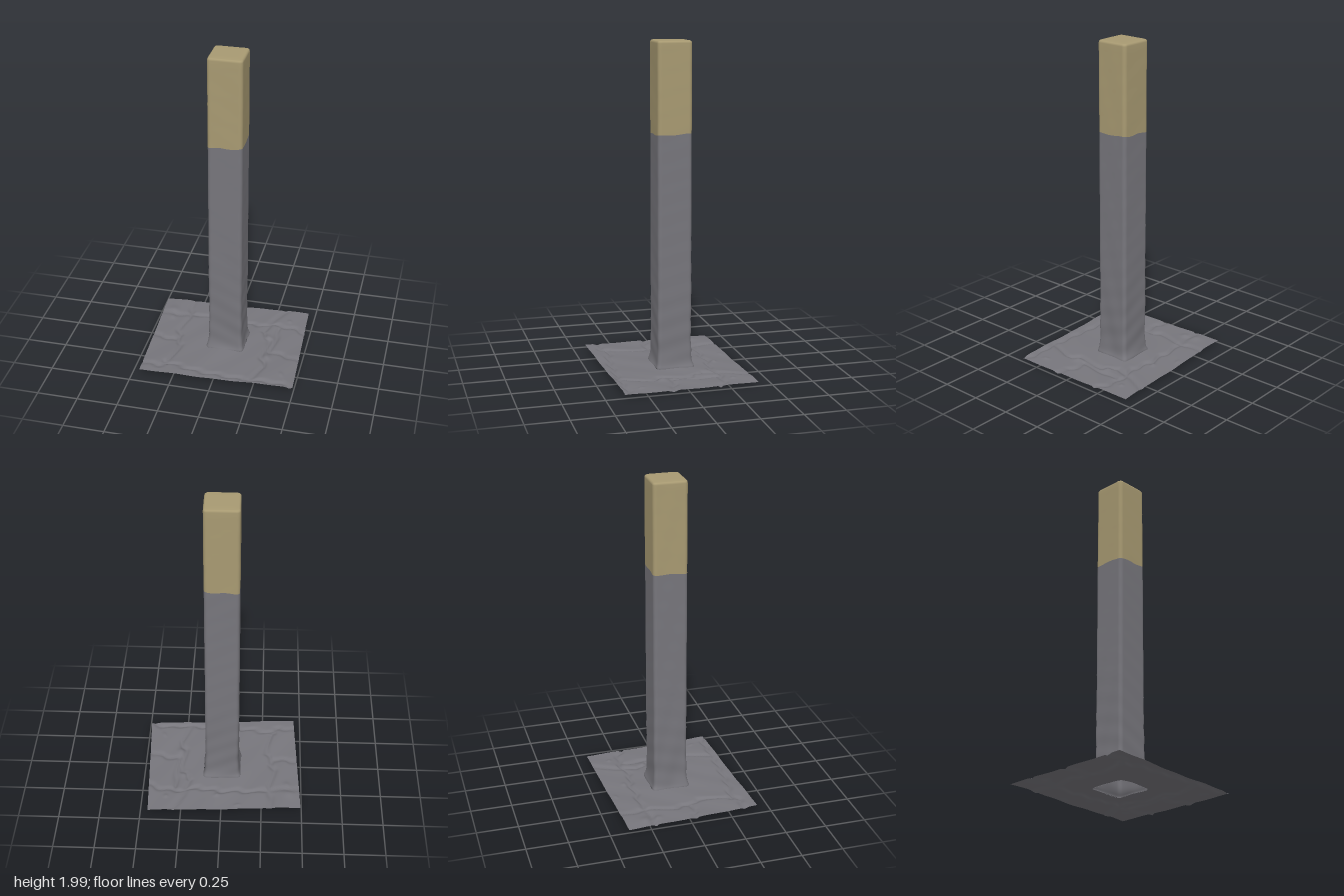
import * as THREE from 'three';

const CX = 0.004, CZ = -0.017; // post centre
const SIDE = 48;               // points along each side of a loop
const signs = [[-1, 1], [1, 1], [1, -1], [-1, -1]];
const sheetCorners = [[-0.458, 0.425], [0.493, 0.38], [0.455, -0.43], [-0.495, -0.385]];

// seams between the paving stones, as x,z paths
const seams = [
  [[-0.48, 0.04], [-0.42, 0.03], [-0.38, 0.06], [-0.33, 0.05], [-0.31, 0]],
  [[-0.31, -0.4], [-0.3, -0.2], [-0.33, -0.05], [-0.31, 0.03], [-0.28, 0.1], [-0.31, 0.3], [-0.34, 0.35], [-0.46, 0.34]],
  [[-0.49, -0.22], [-0.3, -0.23], [-0.2, -0.25], [-0.1, -0.24], [0, -0.25], [0.15, -0.22], [0.25, -0.25], [0.38, -0.24], [0.47, -0.2]],
  [[0.31, -0.42], [0.25, -0.3], [0.2, -0.15], [0.26, -0.08], [0.25, 0.12], [0.28, 0.2], [0.25, 0.3], [0.23, 0.36], [0.4, 0.35], [0.48, 0.37]],
  [[0.3, -0.22], [0.29, 0.05], [0.38, 0.06], [0.48, 0.1]],
  [[-0.33, 0.3], [-0.15, 0.34], [0, 0.35], [0.2, 0.36]],
];
// small stones: x, z, radius, height
const pebbles = [
  [-0.1, -0.37, 0.012, 0.008], [0.03, -0.285, 0.014, 0.008], [0.35, -0.305, 0.012, 0.008],
  [0.4, 0.265, 0.012, 0.008], [-0.42, -0.26, 0.035, 0.009], [-0.41, -0.185, 0.02, 0.008],
  [0.28, 0.11, 0.025, 0.009], [0.24, -0.1, 0.025, 0.008],
];

function seamDistance(x, z) {
  let best = 1;
  for (const path of seams) {
    for (let i = 0; i < path.length - 1; i++) {
      const [ax, az] = path[i], dx = path[i + 1][0] - ax, dz = path[i + 1][1] - az;
      const t = Math.min(1, Math.max(0, ((x - ax) * dx + (z - az) * dz) / (dx * dx + dz * dz)));
      best = Math.min(best, Math.hypot(x - ax - t * dx, z - az - t * dz));
    }
  }
  return best;
}

// height of the paving: gentle slope, undulation, seams and pebbles
function ground(x, z) {
  let y = 0.031 - 0.008 * x + 0.012 * z;
  y += 0.003 * Math.sin(9 * x + 1.5) * Math.cos(8 * z) + 0.0015 * Math.sin(27 * x + 19 * z);
  const wobble = 0.008 * Math.sin(45 * x + 30 * z);
  y -= 0.011 * Math.exp(-((seamDistance(x + wobble, z - wobble) / 0.014) ** 2));
  for (const [px, pz, r, h] of pebbles) y += h * Math.exp(-(((x - px) ** 2 + (z - pz) ** 2) / (r * r)));
  return y + 0.008 * Math.exp(-((Math.hypot(x - CX, z - CZ) / 0.15) ** 2));
}

// point j of a loop through four corners, counterclockwise from above
function along(corners, j) {
  const k = Math.floor(j / SIDE), t = (j % SIDE) / SIDE;
  const a = corners[k], b = corners[(k + 1) % 4];
  return [a[0] + (b[0] - a[0]) * t, a[1] + (b[1] - a[1]) * t];
}

// point j of a square with rounded corners
function roundedSquare(j, half, radius) {
  const [x, z] = along(signs, j).map((v) => v * half);
  const lim = half - radius;
  const qx = Math.max(-lim, Math.min(lim, x)), qz = Math.max(-lim, Math.min(lim, z));
  const len = Math.hypot(x - qx, z - qz) || 1;
  return [CX + qx + ((x - qx) / len) * radius, CZ + qz + ((z - qz) / len) * radius];
}

// skin through closed loops; point(i, j) gives [x, y, z]
function loft(loops, point) {
  const n = SIDE * 4, positions = [], index = [];
  for (let i = 0; i < loops; i++) {
    for (let j = 0; j < n; j++) {
      positions.push(...point(i, j));
      if (i === loops - 1) continue;
      const a = i * n + j, b = i * n + ((j + 1) % n);
      index.push(a, b, b + n, a, b + n, a + n);
    }
  }
  const geometry = new THREE.BufferGeometry();
  geometry.setAttribute('position', new THREE.Float32BufferAttribute(positions, 3));
  geometry.setIndex(index);
  geometry.computeVertexNormals();
  return geometry;
}

// post outline at a height, worn more towards the foot
function postPoint(j, y, inset = 0) {
  const flare = 0.014 * Math.exp(-Math.max(0, y - 0.04) / 0.03);
  const [x, z] = roundedSquare(j, 0.104 + flare - inset, 0.022 - inset * 0.6);
  const worn = (0.0006 + 0.0025 * Math.exp(-((y / 0.5) ** 2))) * (inset > 0.02 ? 0 : 1);
  const bump = worn * Math.sin(31 * y + 24 * x - 17 * z) * Math.cos(19 * y + 30 * z);
  return [x + (x - CX) * bump * 9, z + (z - CZ) * bump * 9];
}

const paintLine = (x, z) => 1.452 + 0.05 * (x - z) * 0.5 + 0.003 * Math.sin(40 * x + 30 * z);

export function createModel() {
  const grey = new THREE.MeshStandardMaterial({ color: 0x77767c, side: THREE.DoubleSide });
  grey.name = 'stone grey';
  const tan = new THREE.MeshStandardMaterial({ color: 0xa89a72, side: THREE.DoubleSide });
  tan.name = 'sand paint';
  const model = new THREE.Group();
  model.name = 'post on paving';
  const add = (name, geometry, material) => {
    const mesh = new THREE.Mesh(geometry, material);
    mesh.name = name;
    model.add(mesh);
  };

  // paving sheet, from its outer edge to the hole under the post
  const sheetLoops = 44;
  add('paving', loft(sheetLoops, (i, j) => {
    const t = i / (sheetLoops - 1);
    const [ox, oz] = along(sheetCorners, j), [ix, iz] = roundedSquare(j, 0.117, 0.022);
    const x = ox + (ix - ox) * t, z = oz + (iz - oz) * t;
    return [x, ground(x, z), z];
  }), grey);

  // hollow grey shaft, denser loops near the flared foot
  const shaftLoops = 60;
  add('shaft', loft(shaftLoops, (i, j) => {
    const t = (i / (shaftLoops - 1)) ** 1.6;
    const [gx, gz] = roundedSquare(j, 0.117, 0.022);
    const low = ground(gx, gz) - 0.002, high = paintLine(gx, gz);
    const y = low + (high - low) * t;
    const [x, z] = postPoint(j, y);
    return [x, y, z];
  }), grey);

  // painted top with a softened rim, closed at the centre
  const rim = [[0, 1.985], [0.0015, 1.992], [0.005, 1.997], [0.011, 2], [0.05, 2], [0.104, 2]];
  const wallLoops = 14;
  add('paintedTop', loft(wallLoops + rim.length, (i, j) => {
    const [gx, gz] = roundedSquare(j, 0.117, 0.022);
    const low = paintLine(gx, gz);
    const [inset, y] = i < wallLoops ? [0, low + (1.985 - low) * (i / wallLoops)] : rim[i - wallLoops];
    if (inset > 0.1) return [CX, y, CZ];
    const [x, z] = inset > 0.03 ? roundedSquare(j, 0.104 - inset, 0.012) : postPoint(j, y, inset);
    return [x, y, z];
  }), tan);

  return model;
}
